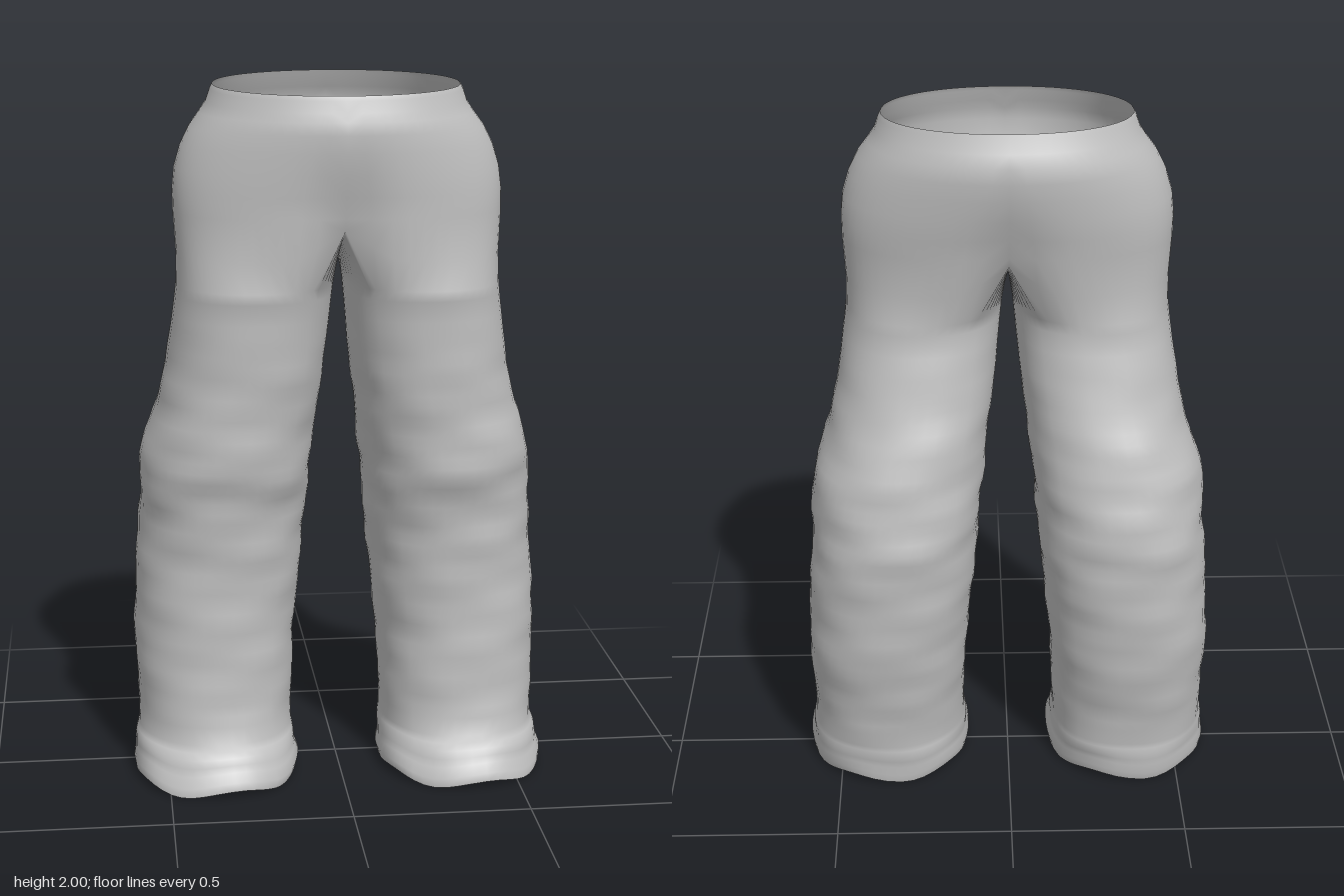
import * as THREE from 'three';
import { mergeVertices } from 'three/addons/utils/BufferGeometryUtils.js';

const K = 33; // points on the outer part of a section, front to back
const J = 17; // points on the inner thigh, back to front

// hips: y, half width, front z, back z
const HIPS = [
  [1.988, 0.345, 0.308, -0.23], [1.975, 0.352, 0.314, -0.235], [1.94, 0.364, 0.322, -0.25],
  [1.91, 0.383, 0.333, -0.267], [1.87, 0.412, 0.336, -0.268], [1.82, 0.437, 0.333, -0.26],
  [1.76, 0.455, 0.328, -0.25], [1.7, 0.461, 0.32, -0.235], [1.64, 0.46, 0.313, -0.22],
];
const CROTCH = [1.52, 0.453, 0.31, -0.2];
// leg: y, outer x, inner x, front z, back z
const LEG = [
  [1.44, 0.455, 0.014, 0.307, -0.184], [1.38, 0.462, 0.02, 0.296, -0.187], [1.2, 0.488, 0.038, 0.288, -0.235],
  [1.08, 0.515, 0.055, 0.282, -0.28], [0.99, 0.55, 0.065, 0.28, -0.305], [0.92, 0.563, 0.072, 0.28, -0.32],
  [0.8, 0.567, 0.084, 0.25, -0.338], [0.62, 0.58, 0.1, 0.236, -0.328], [0.42, 0.59, 0.122, 0.236, -0.31],
  [0.22, 0.582, 0.132, 0.246, -0.268], [0.13, 0.58, 0.135, 0.262, -0.256], [0.1, 0.59, 0.128, 0.3, -0.258],
  [0.06, 0.592, 0.125, 0.318, -0.25], [0.035, 0.598, 0.118, 0.342, -0.252], [0.01, 0.595, 0.124, 0.344, -0.245],
];

const lerp = THREE.MathUtils.lerp;
const power = (v, n) => Math.sign(v) * Math.pow(Math.abs(v), 2 / n);

function legAt(y) {
  let i = 0;
  while (i < LEG.length - 2 && y < LEG[i + 1][0]) i++;
  const a = LEG[i], b = LEG[i + 1], t = (a[0] - y) / (a[0] - b[0]);
  return a.map((v, k) => lerp(v, b[k], t));
}

// half section of the hips, from front centre round the side to back centre
function hipRing([y, w, zf, zb], isCrotch) {
  const cz = (zf + zb) / 2, rz = (zf - zb) / 2, low = THREE.MathUtils.smoothstep(1.85 - y, 0, 0.3);
  const pts = [];
  for (let i = 0; i < K; i++) {
    const phi = Math.PI * (0.5 - i / (K - 1));
    const n = 2.1 + 0.5 * low;
    const x = i === 0 || i === K - 1 ? 0 : w * power(Math.cos(phi), n);
    const centre = Math.exp(-Math.pow(x / 0.09, 2));
    const z = cz + rz * power(Math.sin(phi), n) * (1 - 0.14 * low * centre);
    const lift = isCrotch ? 0.085 * centre : 0;
    const tilt = -0.05 * z * THREE.MathUtils.smoothstep(y, 1.85, 1.98);
    pts.push([x, y + lift + tilt, z]);
  }
  if (isCrotch) { // seam passing between the legs
    const front = pts[0], back = pts[K - 1];
    for (let j = 1; j <= J; j++) {
      const t = j / (J + 1);
      pts.push([0, front[1] - 0.075 * Math.sin(Math.PI * t), lerp(back[2], front[2], t)]);
    }
  }
  return pts;
}

// closed section of a leg with loose cloth wrinkles
function legRing(y, side) {
  const [, xo, xi, zf, zb] = legAt(y);
  const cx = (xo + xi) / 2, rx = (xo - xi) / 2, cz = (zf + zb) / 2, rz = (zf - zb) / 2;
  const a0 = 130 * Math.PI / 180, pts = [];
  const amp = 0.006 * THREE.MathUtils.smoothstep(1.44 - y, 0, 0.35);
  const knee = 1 + 0.7 * Math.exp(-Math.pow((y - 0.85) / 0.17, 2));
  for (let i = 0; i < K + J; i++) {
    const phi = i < K ? lerp(a0, -a0, i / (K - 1))
      : lerp(-a0, a0 - 2 * Math.PI, (i - K + 1) / (J + 1));
    const fold = Math.sin(3 * phi + 23 * y + side) + 0.8 * Math.sin(5 * phi - 37 * y + 2 * side)
      + 0.6 * Math.sin(2 * phi + 61 * y);
    const s = 1 + amp * knee * fold;
    const hem = 0.01 * (1 - THREE.MathUtils.smoothstep(y, 0.01, 0.16)) * Math.sin(5 * phi + side);
    pts.push([cx + rx * s * power(Math.cos(phi), 2.25), y + hem, cz + rz * s * power(Math.sin(phi), 2.25)]);
  }
  return pts;
}

function buildHalf(side, out) {
  const rings = HIPS.map(r => hipRing(r, false));
  rings.push(hipRing(CROTCH, true));
  for (let y = 1.44; y > 0.15; y -= 0.03) rings.push(legRing(y, side));
  for (const y of [0.13, 0.115, 0.1, 0.08, 0.06, 0.035, 0.01]) rings.push(legRing(y, side));
  const tri = (...pts) => {
    if (side < 0) pts.reverse();
    for (const [x, y, z] of pts) out.push(x * side, y, z);
  };
  for (let r = 0; r < rings.length - 1; r++) {
    const up = rings[r], down = rings[r + 1], closed = up.length > K;
    const count = closed ? K + J : K - 1;
    for (let i = 0; i < count; i++) {
      const k = closed ? (i + 1) % (K + J) : i + 1;
      tri(up[i], down[i], up[k]);
      tri(up[k], down[i], down[k]);
    }
  }
}

export function createModel() {
  const group = new THREE.Group();
  group.name = 'trousers';
  const cloth = new THREE.MeshStandardMaterial({ color: 0xbfbfbf, side: THREE.DoubleSide });
  cloth.name = 'grey cloth';

  // both halves are welded along the centre seam
  const positions = [];
  buildHalf(1, positions);
  buildHalf(-1, positions);
  let geometry = new THREE.BufferGeometry();
  geometry.setAttribute('position', new THREE.Float32BufferAttribute(positions, 3));
  geometry = mergeVertices(geometry, 1e-4);
  geometry.computeVertexNormals();

  const mesh = new THREE.Mesh(geometry, cloth);
  mesh.name = 'trouserCloth';
  group.add(mesh);
  return group;
}
